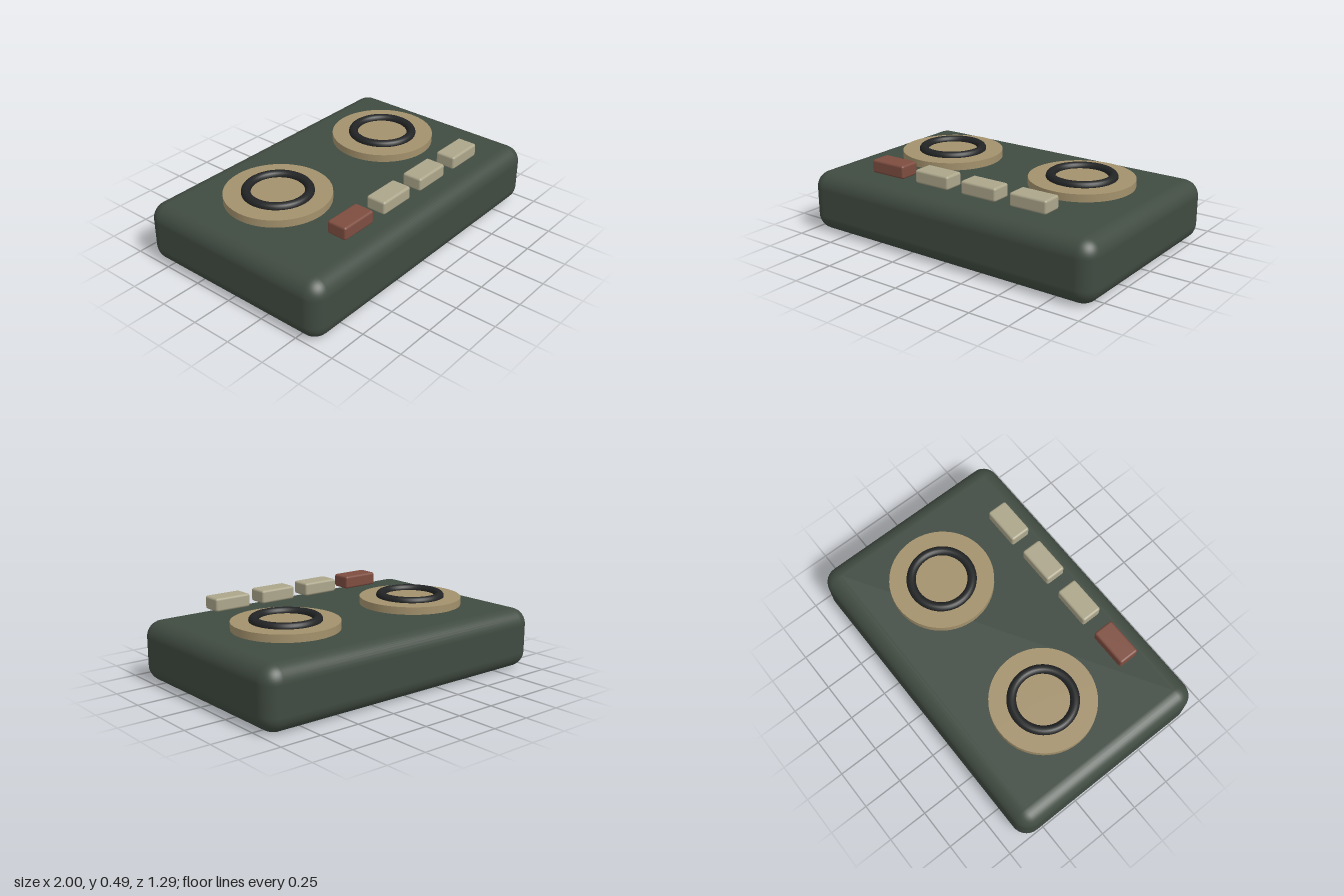
import * as THREE from 'three';
import { RoundedBoxGeometry } from 'three/addons/geometries/RoundedBoxGeometry.js';

const material = (name, color) => {
  const m = new THREE.MeshStandardMaterial({ color });
  m.name = name;
  return m;
};

export function createModel() {
  const green = material('dark green', 0x404b41);
  const tan = material('tan', 0xa3916c);
  const black = material('black', 0x222324);
  const cream = material('cream', 0xaca68b);
  const red = material('brick red', 0x7e4d40);

  const model = new THREE.Group();
  model.name = 'tapeDeck';
  const add = (name, geometry, mat, x, y, z, parent = model) => {
    const mesh = new THREE.Mesh(geometry, mat);
    mesh.name = name;
    mesh.position.set(x, y, z);
    parent.add(mesh);
    return mesh;
  };

  // Softly rounded case
  add('case', new RoundedBoxGeometry(2, 0.372, 1.295, 5, 0.1), green, 0, 0.186, 0);

  // Two reels, each a flat disc with a raised hub ring
  const discGeometry = new THREE.CylinderGeometry(0.315, 0.315, 0.046, 64);
  const ringGeometry = new THREE.TorusGeometry(0.183, 0.028, 16, 64).rotateX(-Math.PI / 2);
  for (const side of [-1, 1]) {
    const reel = new THREE.Group();
    reel.name = side > 0 ? 'leftReel' : 'rightReel';
    reel.position.set(side * 0.481, 0, -0.096);
    model.add(reel);
    add('reelDisc', discGeometry, tan, 0, 0.407, 0, reel);
    add('hubRing', ringGeometry, black, 0, 0.434, 0, reel);
  }

  // Row of keys along the front, the first one red
  const keyGeometry = new RoundedBoxGeometry(0.24, 0.081, 0.128, 3, 0.014);
  for (let i = 0; i < 4; i++) {
    add(i ? 'key' + i : 'recordKey', keyGeometry, i ? cream : red, -0.485 + i * 0.3333, 0.446, 0.445);
  }
  return model;
}
